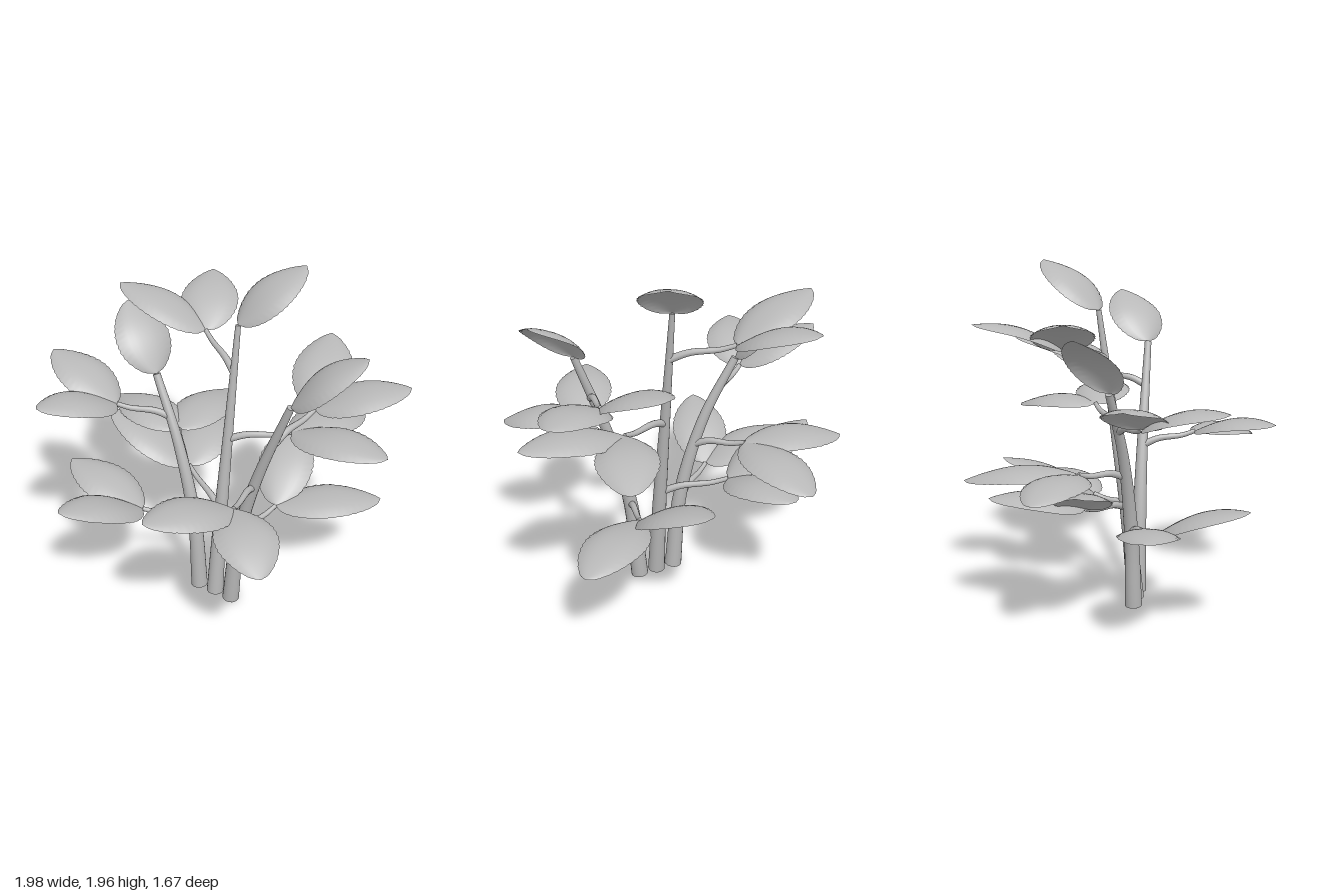
import * as THREE from 'three';

const V = (a) => new THREE.Vector3(...a);

// Smooth tapered tube through points, closed at both ends by discs
function branch(name, points, r0, r1, sides, mat) {
  const group = new THREE.Group();
  group.name = name;
  const curve = new THREE.CatmullRomCurve3(points.map(V));
  const rows = 16;
  const geo = new THREE.TubeGeometry(curve, rows, 1, sides);
  const pos = geo.attributes.position;
  const p = new THREE.Vector3();
  for (let i = 0; i < pos.count; i++) {
    const t = Math.floor(i / (sides + 1)) / rows;
    const c = curve.getPointAt(t);
    p.fromBufferAttribute(pos, i).sub(c).multiplyScalar(r0 + (r1 - r0) * t).add(c);
    pos.setXYZ(i, p.x, p.y, p.z);
  }
  group.add(new THREE.Mesh(geo, mat));
  for (const [t, r, sign] of [[0, r0, -1], [1, r1, 1]]) {
    const cap = new THREE.Mesh(new THREE.CircleGeometry(r, sides), mat);
    const dir = curve.getTangentAt(t).multiplyScalar(sign);
    cap.position.copy(curve.getPointAt(t));
    cap.quaternion.setFromUnitVectors(new THREE.Vector3(0, 0, 1), dir);
    group.add(cap);
  }
  return group;
}

// Broad domed leaf, arched from base to tip, with a finely toothed edge
function leaf(base, tip, mat) {
  const a = V(base), b = V(tip);
  const d = b.clone().sub(a).normalize();
  const n = new THREE.Vector3(0, 1, 0).addScaledVector(d, -d.y).normalize();
  const side = d.clone().cross(n);
  const rows = 28;
  const geo = new THREE.PlaneGeometry(1, 1, 10, rows);
  const pos = geo.attributes.position;
  const p = new THREE.Vector3();
  for (let i = 0; i < pos.count; i++) {
    const t = pos.getY(i) + 0.5;
    const s = pos.getX(i) * 2;
    const outline = Math.pow(Math.max(0, Math.sin(Math.PI * Math.pow(t, 0.9))), 0.65);
    const tooth = Math.abs(s) > 0.95 && Math.round(t * rows) % 2 ? 0.965 : 1;
    p.lerpVectors(a, b, t)
      .addScaledVector(side, s * 0.168 * outline * tooth)
      .addScaledVector(n, 0.055 * Math.sin(Math.PI * t) - 0.045 * outline * Math.pow(Math.abs(s), 2.5));
    pos.setXYZ(i, p.x, p.y, p.z);
  }
  geo.computeVertexNormals();
  const mesh = new THREE.Mesh(geo, mat);
  mesh.name = 'leaf';
  return mesh;
}

export function createModel() {
  const model = new THREE.Group();
  model.name = 'leafyPlant';
  const stemGrey = new THREE.MeshStandardMaterial({ color: 0xb8b8b8 });
  stemGrey.name = 'plantGrey';
  stemGrey.side = THREE.DoubleSide;

  // Three main stems, each ending in one upright leaf
  const stems = [
    { name: 'rightStem', r: 0.022, tip: [-0.66, 1.64, -0.19],
      path: [[-0.02, 0, 0.04], [-0.06, 0.47, 0.03], [-0.19, 0.95, 0], [-0.365, 1.32, -0.05]] },
    { name: 'middleStem', r: 0.015, tip: [0.3, 1.96, -0.52],
      path: [[0.093, 0, 0.04], [0.093, 0.5, -0.01], [0.093, 1.1, -0.09], [0.093, 1.7, -0.17]] },
    { name: 'leftStem', r: 0.02, tip: [0.87, 1.74, -0.14],
      path: [[0.205, 0, 0.04], [0.25, 0.48, 0.045], [0.36, 0.92, 0.05], [0.555, 1.46, 0.06]] },
  ];
  for (const s of stems) {
    model.add(branch(s.name, s.path, 0.05, s.r, 16, stemGrey));
    model.add(leaf(s.path[3], s.tip, stemGrey));
  }

  // Side twigs: start on a stem, end, and the tips of the pair of leaves
  const twigs = [
    [[-0.25, 1.09, -0.02], [-0.51, 1.17, 0.14], [-0.99, 1.36, 0.1], [-0.7, 1.3, 0.59]],
    [[-0.14, 0.81, 0], [-0.34, 0.87, -0.22], [-0.89, 0.86, -0.37], [-0.38, 0.83, -0.84]],
    [[-0.07, 0.47, 0.03], [-0.32, 0.54, 0.19], [-0.86, 0.68, 0.17], [-0.51, 0.75, 0.7]],
    [[0.093, 1.43, -0.135], [-0.21, 1.52, -0.32], [-0.73, 1.72, -0.22], [-0.44, 1.68, -0.75]],
    [[0.093, 1.03, -0.08], [0.41, 1.1, -0.24], [0.99, 1.14, -0.23], [0.61, 1.05, -0.74]],
    [[0.093, 0.56, -0.02], [-0.25, 0.65, -0.2], [-0.8, 0.88, -0.16], [-0.37, 0.73, -0.71]],
    [[0.47, 1.21, 0.055], [0.54, 1.29, -0.24], [0.95, 1.4, -0.56], [0.38, 1.5, -0.72]],
    [[0.34, 0.87, 0.05], [0.41, 0.95, 0.36], [0.17, 1.05, 0.83], [0.77, 0.87, 0.68]],
    [[0.25, 0.49, 0.045], [0.33, 0.56, -0.24], [0.82, 0.57, -0.63], [0.17, 0.81, -0.76]],
  ];
  for (const [start, end, ...tips] of twigs) {
    const mix = (t, lift) => start.map((v, k) => v + (end[k] - v) * t + (k === 1 ? lift : 0));
    const path = [start, mix(0.3, 0.015), mix(0.75, -0.005), end];
    model.add(branch('twig', path, 0.022, 0.013, 10, stemGrey));
    for (const tip of tips) model.add(leaf(end, tip, stemGrey));
  }
  return model;
}
